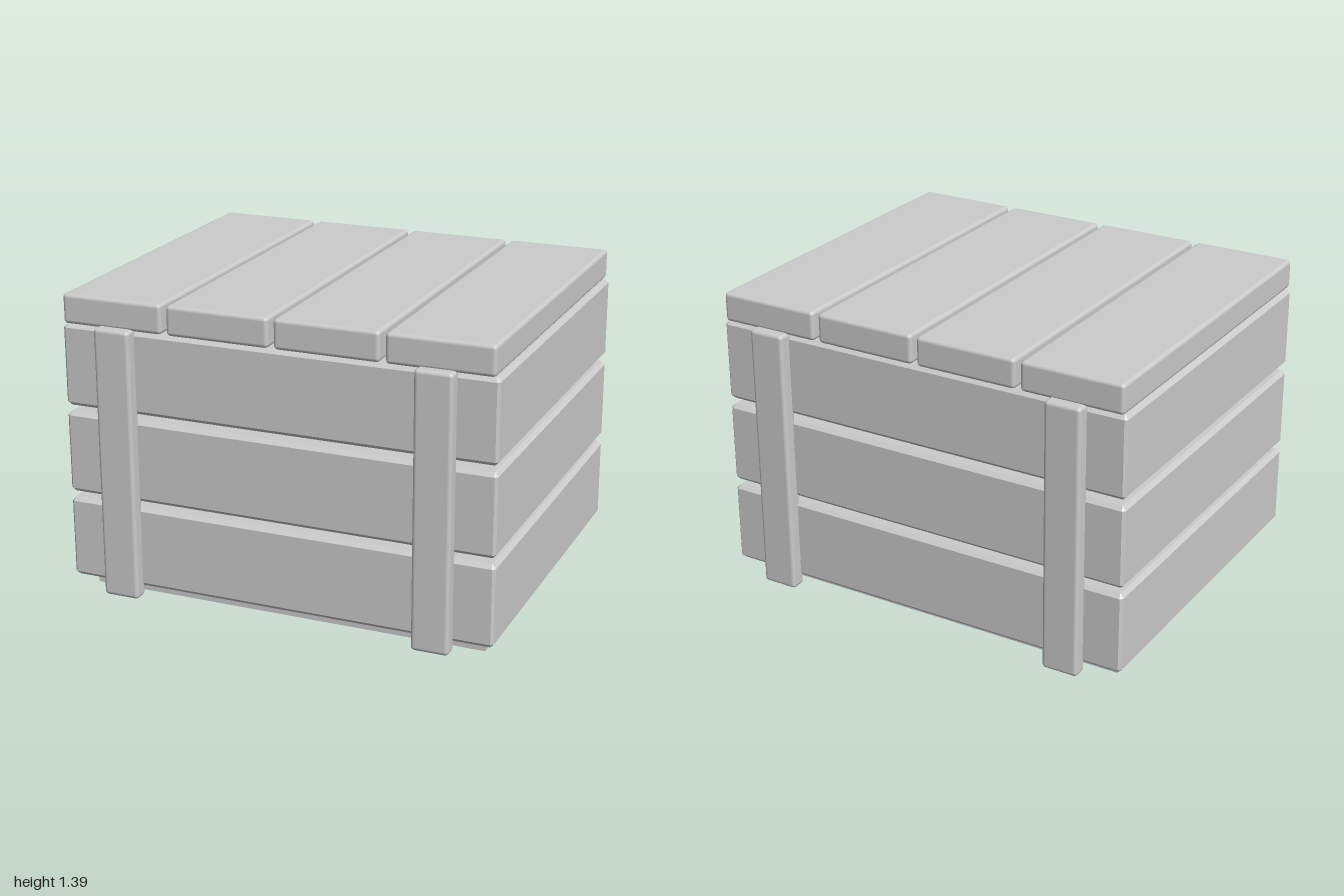
import * as THREE from 'three';
import { RoundedBoxGeometry } from 'three/addons/geometries/RoundedBoxGeometry.js';

const material = new THREE.MeshStandardMaterial({ color: 0xcccccc });
const BEVEL = 0.018;

// Soft-edged board given by its low and high corners
function board(name, [x0, y0, z0], [x1, y1, z1]) {
  const geometry = new RoundedBoxGeometry(x1 - x0, y1 - y0, z1 - z0, 2, BEVEL);
  const mesh = new THREE.Mesh(geometry, material);
  mesh.position.set((x0 + x1) / 2, (y0 + y1) / 2, (z0 + z1) / 2);
  mesh.name = name;
  return mesh;
}

// Rectangle outline with slightly clipped corners
function outline(target, x, z, c) {
  target.moveTo(x - c, -z);
  target.lineTo(x, -z + c);
  target.lineTo(x, z - c);
  target.lineTo(x - c, z);
  target.lineTo(-x + c, z);
  target.lineTo(-x, z - c);
  target.lineTo(-x, -z + c);
  target.lineTo(-x + c, -z);
  target.closePath();
  return target;
}

// Hollow course of wall planks, bevelled along its top and bottom edges
function wallRow(y0, y1) {
  const shape = outline(new THREE.Shape(), 1, 0.815, 0.012);
  shape.holes.push(outline(new THREE.Path(), 0.875, 0.69, 0.004));
  const geometry = new THREE.ExtrudeGeometry(shape, {
    depth: y1 - y0 - 2 * BEVEL, bevelEnabled: true, bevelSegments: 1,
    bevelSize: BEVEL, bevelThickness: BEVEL, bevelOffset: -BEVEL,
  });
  geometry.rotateX(-Math.PI / 2);
  const mesh = new THREE.Mesh(geometry, material);
  mesh.position.y = y0 + BEVEL;
  mesh.name = 'wallRow';
  return mesh;
}

export function createModel() {
  const crate = new THREE.Group();
  crate.name = 'crate';

  // Floor panel
  const floor = new THREE.Mesh(new THREE.BoxGeometry(1.87, 0.12, 1.43), material);
  floor.position.y = 0.06;
  floor.name = 'floor';
  crate.add(floor);

  // Three stacked wall courses with open gaps between
  for (const [y0, y1] of [[0.065, 0.445], [0.472, 0.852], [0.88, 1.257]]) crate.add(wallRow(y0, y1));

  // Lid planks
  for (let i = 0; i < 4; i++) {
    const x = -0.99 + i * 0.5;
    crate.add(board('lidPlank', [x, 1.26, -0.825], [x + 0.475, 1.395, 0.825]));
  }

  // Upright battens on front and back
  for (const x of [-0.735, 0.735]) {
    crate.add(board('frontBatten', [x - 0.085, 0.02, 0.795], [x + 0.085, 1.27, 0.87]));
    crate.add(board('backBatten', [x - 0.085, 0.02, -0.87], [x + 0.085, 1.27, -0.795]));
  }
  return crate;
}
